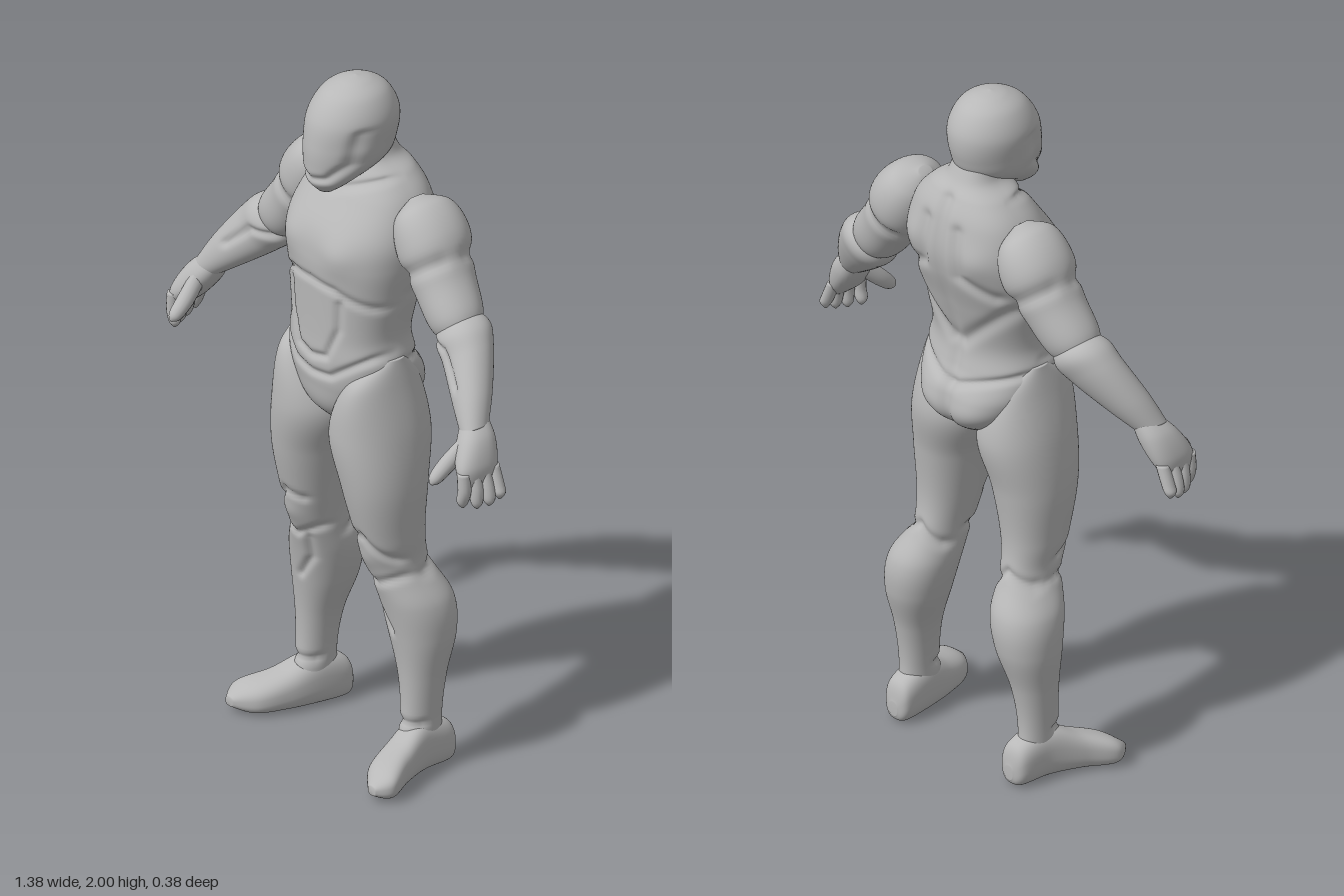
import * as THREE from 'three';

const grey = new THREE.MeshStandardMaterial({ color: 0xb8b8b8 });
grey.name = 'plain grey';

const V = (a) => new THREE.Vector3(...a);
const X = [1, 0, 0], Y = [0, 1, 0], Z = [0, 0, 1];

// Section from extents: horizontal slice at height y, or upright slice at depth z
const slice = ([y, x0, x1, zb, zf]) => [(x0 + x1) / 2, y, (zb + zf) / 2, (x1 - x0) / 2, (zf - zb) / 2];
const centred = ([y, w, zb, zf]) => slice([y, -w, w, zb, zf]);
const upright = ([z, x, w, y0, y1]) => [x, (y0 + y1) / 2, z, w, (y1 - y0) / 2];

function catmull(rows, t) {
  const n = rows.length - 1, f = t * n, i = Math.min(Math.floor(f), n - 1), s = f - i;
  const [a, b, c, d] = [i - 1, i, i + 1, i + 2].map((k) => rows[Math.max(0, Math.min(n, k))]);
  return b.map((q, k) => 0.5 * (2 * q + (c[k] - a[k]) * s + (2 * a[k] - 5 * q + 4 * c[k] - d[k]) * s * s
    + (3 * q - a[k] - 3 * c[k] + d[k]) * s * s * s));
}

// Relief drawn in x, y on the front (face 1) or back (face -1): carved grooves, raised muscles
const groove = (face, ...points) => ({ face, amount: -0.01, width: 0.011, points });
const furrow = (face, ...points) => ({ face, amount: -0.012, width: 0.02, points });
const swell = (face, width, ...points) => ({ face, amount: width / 5, width, points });

function distance(x, y, points) {
  let best = Infinity;
  points.forEach((a, i) => {
    const b = points[Math.min(i + 1, points.length - 1)], dx = b[0] - a[0], dy = b[1] - a[1];
    const t = ((x - a[0]) * dx + (y - a[1]) * dy) / (dx * dx + dy * dy || 1);
    const k = Math.max(0, Math.min(1, t));
    best = Math.min(best, Math.hypot(x - a[0] - k * dx, y - a[1] - k * dy));
  });
  return best;
}

const relief = (p, dir, strokes) => strokes.reduce((sum, { face, amount, width, points }) => {
  const facing = Math.max(0, Math.min(1, dir.z * face * 2 + 0.2));
  return facing ? sum + facing * amount * Math.exp(-((distance(Math.abs(p.x), p.y, points) / width) ** 2)) : sum;
}, 0);

// Smooth closed skin through [cx, cy, cz, ru, rv] sections lying on axes u and v
function loft(name, rows, { u = X, v = Z, n = 2, around = 48, along = 48, side = 1, strokes = [] } = {}) {
  const U = V(u), W = V(v), pos = [], idx = [];
  const pw = (q) => Math.sign(q) * Math.abs(q) ** (2 / n);
  const dir = new THREE.Vector3(), p = new THREE.Vector3();
  for (let i = 0; i <= along; i++) {
    const [cx, cy, cz, ru, rv] = catmull(rows, i / along);
    for (let j = 0; j < around; j++) {
      const a = (j / around) * Math.PI * 2, c = Math.cos(a), s = Math.sin(a);
      p.set(cx, cy, cz).addScaledVector(U, ru * pw(c)).addScaledVector(W, rv * pw(s));
      dir.set(0, 0, 0).addScaledVector(U, c).addScaledVector(W, s).normalize();
      p.addScaledVector(dir, relief(p, dir, strokes));
      pos.push(p.x * side, p.y, p.z);
    }
  }
  const first = rows[0], last = rows[rows.length - 1];
  for (const r of [first, last]) pos.push(r[0] * side, r[1], r[2]);
  const path = V(last.slice(0, 3)).sub(V(first.slice(0, 3)));
  const flip = U.clone().cross(W).dot(path) * side < 0;
  const tri = (a, b, c) => (flip ? idx.push(a, c, b) : idx.push(a, b, c));
  const cap = (along + 1) * around, top = along * around;
  for (let j = 0; j < around; j++) {
    const k = (j + 1) % around;
    for (let i = 0; i < along; i++) {
      const a = i * around + j, b = i * around + k;
      tri(a, b, a + around);
      tri(b, b + around, a + around);
    }
    tri(cap, k, j);
    tri(cap + 1, top + j, top + k);
  }
  const g = new THREE.BufferGeometry();
  g.setAttribute('position', new THREE.Float32BufferAttribute(pos, 3));
  g.setIndex(idx);
  g.computeVertexNormals();
  const mesh = new THREE.Mesh(g, grey);
  mesh.name = name;
  return mesh;
}

function makeTorso() {
  const rows = [[0.96, 0.015, -0.04, 0.04], [1.04, 0.12, -0.15, 0.125], [1.12, 0.18, -0.16, 0.148], [1.2, 0.193, -0.128, 0.153],
    [1.28, 0.178, -0.118, 0.152], [1.4, 0.195, -0.148, 0.154], [1.5, 0.212, -0.18, 0.158], [1.58, 0.212, -0.19, 0.142],
    [1.67, 0.182, -0.177, 0.085], [1.73, 0.13, -0.15, 0.045], [1.77, 0.078, -0.12, 0.034], [1.84, 0.065, -0.09, 0.025]];
  const strokes = [
    swell(1, 0.05, [0.1, 1.53]), // chest
    groove(1, [0, 1.437], [0.09, 1.43], [0.2, 1.38]),
    groove(1, [0.105, 1.39], [0.1, 1.31], [0.06, 1.22], [0, 1.205]), // abdomen
    groove(1, [0, 1.155], [0.075, 1.165], [0.19, 1.245]), // trunks edge
    furrow(-1, [0, 1.16], [0, 1.72]), // spine
    swell(-1, 0.05, [0.12, 1.58]), // shoulder blade
    furrow(-1, [0.06, 1.65], [0.07, 1.52], [0.16, 1.47]),
    furrow(-1, [0.02, 1.28], [0.18, 1.42]),
    swell(-1, 0.055, [0.085, 1.08]), // seat
    furrow(-1, [0, 0.98], [0, 1.13]),
    groove(-1, [0, 1.15], [0.19, 1.21]),
    groove(1, [0, 1.68], [0.13, 1.73]), // collar
  ];
  return loft('torso', rows.map(centred), { n: 2.35, around: 120, along: 140, strokes });
}

function makeHead() {
  const rows = [[1.69, 0.025, 0.08, 0.125], [1.725, 0.066, 0.025, 0.154], [1.775, 0.096, -0.085, 0.159], [1.83, 0.107, -0.115, 0.157],
    [1.9, 0.112, -0.119, 0.142], [1.96, 0.086, -0.09, 0.102], [1.99, 0.044, -0.045, 0.05], [2, 0.002, 0, 0.004]];
  const strokes = [
    groove(1, [0.107, 1.88], [0.09, 1.79], [0.05, 1.745], [0, 1.735]), // visor edge
    swell(1, 0.025, [0.107, 1.82]), // ear cover
  ];
  return loft('helmet', rows.map(centred), { around: 72, along: 64, strokes });
}

function makeLeg(side) {
  const leg = new THREE.Group();
  leg.name = side > 0 ? 'leftLeg' : 'rightLeg';
  const rows = [[1.225, 0.16, 0.195, -0.02, 0.04], [1.15, 0.085, 0.212, -0.085, 0.135], [1, 0.01, 0.243, -0.125, 0.16],
    [0.85, 0.05, 0.255, -0.1, 0.144], [0.7, 0.085, 0.244, -0.086, 0.11], [0.6, 0.104, 0.238, -0.102, 0.08],
    [0.5, 0.108, 0.29, -0.15, 0.053], [0.4, 0.13, 0.3, -0.15, 0.034], [0.28, 0.17, 0.286, -0.116, 0.02],
    [0.16, 0.188, 0.277, -0.1, 0.02], [0.04, 0.19, 0.275, -0.11, 0.04]];
  const strokes = [
    swell(1, 0.035, [0.168, 0.64]), // kneecap
    groove(1, [0.115, 0.7], [0.17, 0.715], [0.238, 0.64]),
    groove(1, [0.107, 0.6], [0.175, 0.565], [0.25, 0.595]), // boot top
    groove(1, [0.14, 0.56], [0.15, 0.49], [0.2, 0.42]),
    groove(-1, [0.1, 0.56], [0.17, 0.62], [0.25, 0.58]),
    groove(1, [0.18, 0.15], [0.28, 0.15]), // ankle seam
  ];
  leg.add(loft('thighAndShin', rows.map(slice), { n: 2.15, around: 72, along: 130, side, strokes }));
  const foot = [[-0.142, 0.226, 0.015, 0.02, 0.06], [-0.12, 0.228, 0.044, 0, 0.12], [-0.03, 0.236, 0.05, 0, 0.148],
    [0.06, 0.262, 0.057, 0, 0.11], [0.14, 0.299, 0.06, 0, 0.08], [0.188, 0.316, 0.015, 0.02, 0.045]];
  leg.add(loft('boot', foot.map(upright), { v: Y, n: 2.6, side }));
  return leg;
}

function makeArm(side) {
  const arm = new THREE.Group();
  arm.name = side > 0 ? 'leftArm' : 'rightArm';
  const limb = { u: [0.78, 0.62, 0], n: 2.1, around: 56, along: 50, side };
  const upper = [[0.186, 1.692, -0.06, 0.015, 0.02], [0.21, 1.658, -0.063, 0.069, 0.085], [0.255, 1.585, -0.064, 0.095, 0.106],
    [0.315, 1.49, -0.057, 0.081, 0.088], [0.385, 1.405, -0.048, 0.072, 0.073], [0.43, 1.36, -0.045, 0.03, 0.03]];
  arm.add(loft('shoulderAndUpperArm', upper, { ...limb, strokes: [1, -1].map((face) =>
    furrow(face, [0.235, 1.5], [0.3, 1.54], [0.355, 1.58])) })); // deltoid edge
  const fore = [[0.36, 1.43, -0.052, 0.03, 0.03], [0.405, 1.387, -0.046, 0.078, 0.075], [0.455, 1.34, -0.03, 0.078, 0.07],
    [0.535, 1.255, 0.015, 0.057, 0.056], [0.59, 1.19, 0.05, 0.035, 0.04]];
  arm.add(loft('forearm', fore, { ...limb, strokes: [groove(1, [0.36, 1.36], [0.43, 1.36], [0.51, 1.29])] }));
  const palm = [[0.565, 1.22, 0.035, 0.03, 0.035], [0.6, 1.17, 0.055, 0.043, 0.056], [0.635, 1.11, 0.076, 0.033, 0.063],
    [0.653, 1.068, 0.08, 0.012, 0.04]];
  arm.add(loft('palm', palm, { u: [0.9, 0.44, 0], n: 2.3, around: 32, along: 24, side }));
  // Fingers, from little finger to index, curling further in towards the index
  const r = 0.0185;
  for (let i = 0; i < 4; i++) {
    const z = 0.03 + 0.032 * i, tip = 0.674 - 0.004 * i * i, low = 1.002 + 0.008 * (i - 2) ** 2 / 2;
    arm.add(loft('finger' + (i + 1), [[0.642, 1.11, z, r, r], [(0.654 + tip) / 2, 1.06, z, r, r],
      [tip, low + r, z, r * 0.9, r * 0.9], [tip, low, z, r / 5, r / 5]], { around: 14, along: 16, side }));
  }
  arm.add(loft('thumb', [[0.592, 1.165, 0.08, 0.02, 0.025], [0.58, 1.115, 0.133, 0.023, 0.024],
    [0.576, 1.08, 0.172, 0.018, 0.018], [0.577, 1.068, 0.186, 0.004, 0.004]],
    { v: [0, 0.72, 0.69], around: 14, along: 18, side }));
  return arm;
}

export function createModel() {
  const figure = new THREE.Group();
  figure.name = 'standingFigure';
  figure.add(makeTorso(), makeHead());
  for (const side of [1, -1]) figure.add(makeLeg(side), makeArm(side));
  return figure;
}
